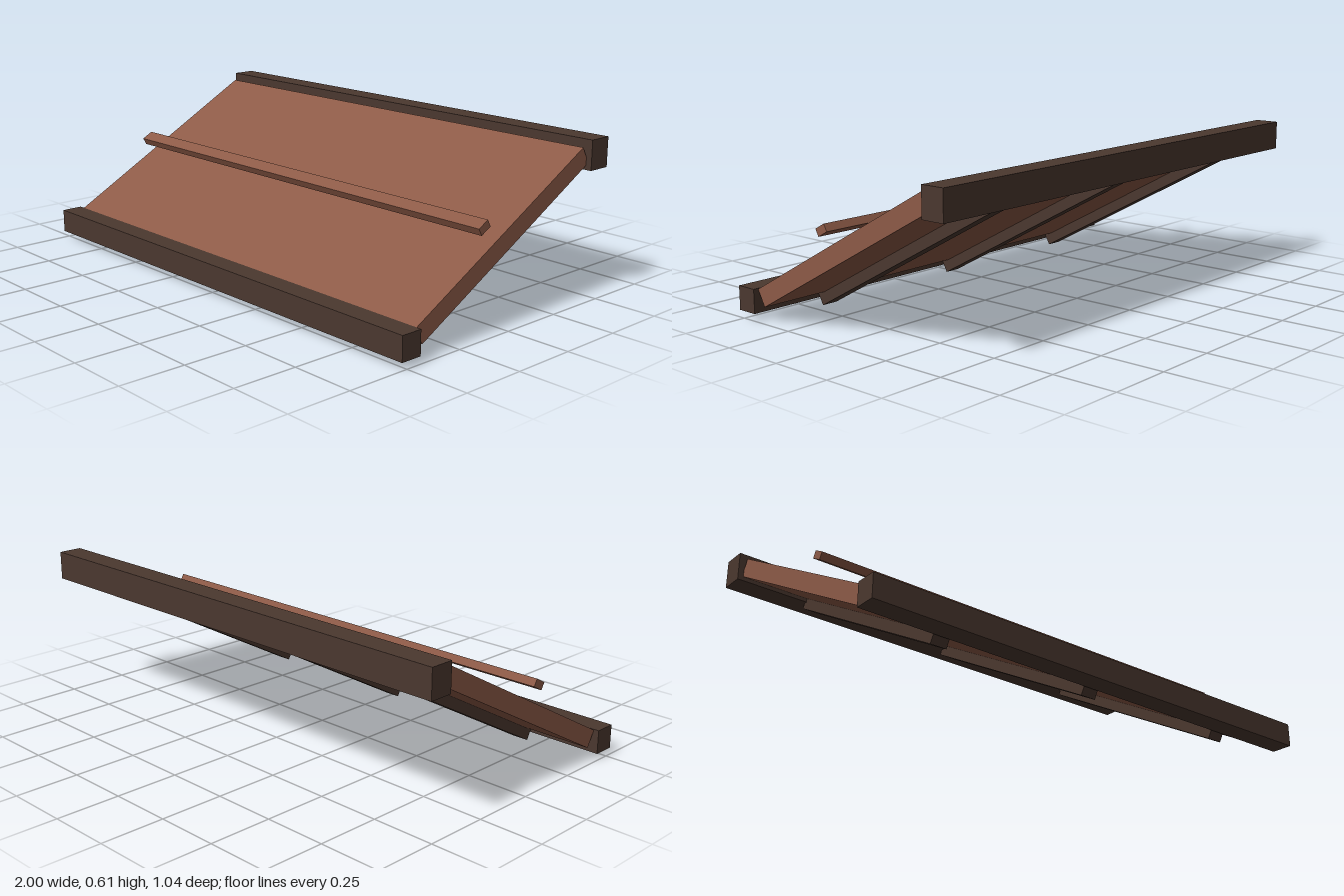
import * as THREE from 'three';

const darkWood = new THREE.MeshStandardMaterial({ color: 0x4b382f });
darkWood.name = 'dark wood';
const redWood = new THREE.MeshStandardMaterial({ color: 0x8d5a47 });
redWood.name = 'red-brown wood';

const PITCH = 0.501; // slope of the panel, falling towards the front

export function createModel() {
  const model = new THREE.Group();
  model.name = 'slopedRoofPanel';

  const addBox = (name, material, [w, h, d], [x, y, z], tilt = 0) => {
    const mesh = new THREE.Mesh(new THREE.BoxGeometry(w, h, d), material);
    mesh.name = name;
    mesh.position.set(x, y, z);
    mesh.rotation.x = tilt;
    model.add(mesh);
  };

  // Level beams along the low front and high back edges
  addBox('frontBeam', darkWood, [2, 0.092, 0.085], [0, 0.077, 0.48]);
  addBox('backBeam', darkWood, [2, 0.112, 0.094], [0, 0.554, -0.475]);

  // Sloped panel
  addBox('panel', redWood, [1.955, 0.07, 0.966], [0, 0.32, 0], PITCH);

  // Rafters let into the underside
  [-0.667, 0, 0.667].forEach((x, i) => {
    addBox(`rafter${i + 1}`, darkWood, [0.066, 0.085, 0.991], [x, 0.279, 0.002], PITCH);
  });

  // Batten raised above the panel
  addBox('batten', redWood, [1.925, 0.03, 0.05], [0, 0.383, 0.098], PITCH);

  return model;
}
